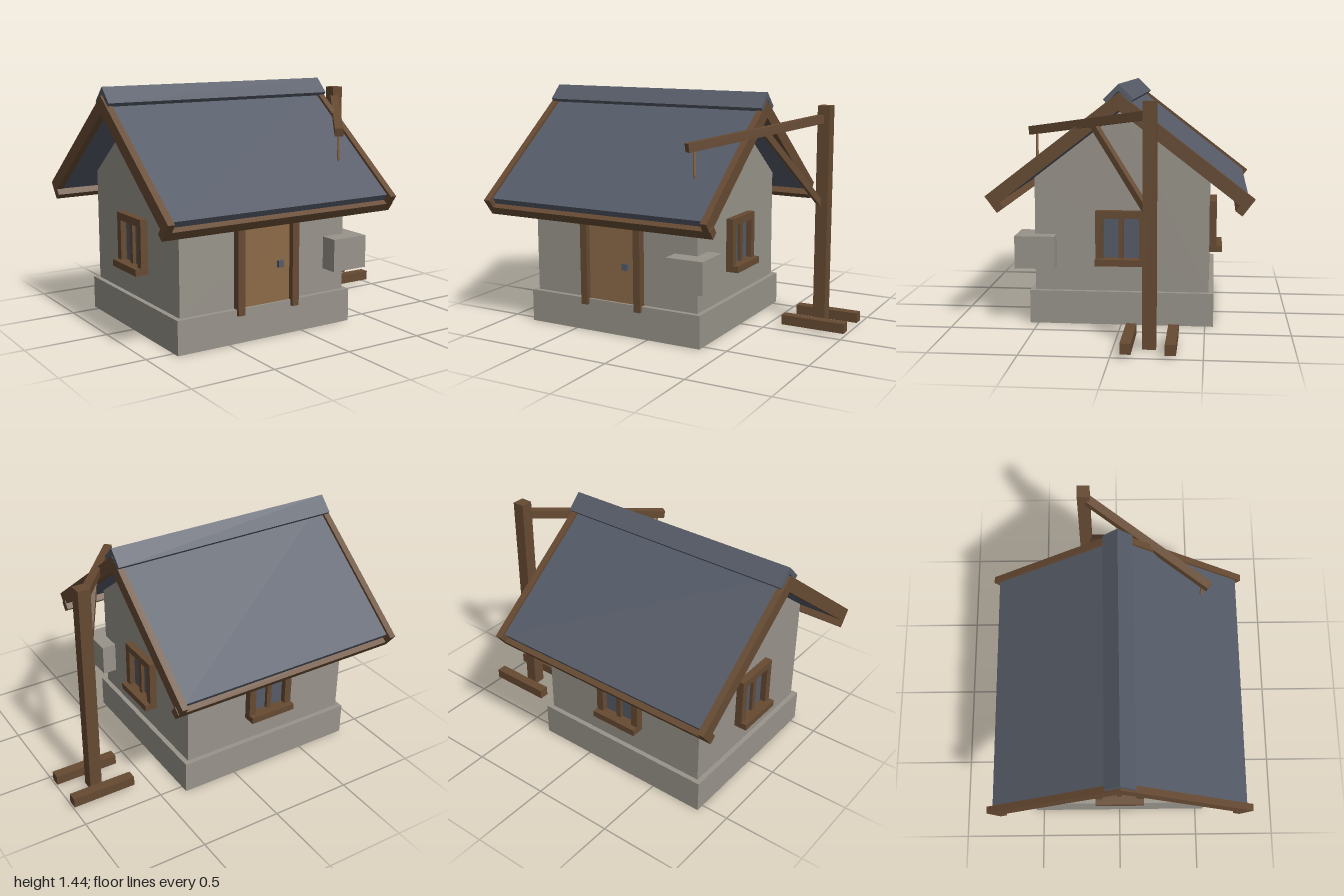
import * as THREE from 'three';

const mat = (name, color) => {
  const m = new THREE.MeshStandardMaterial({ color });
  m.name = name;
  return m;
};

export function createModel() {
  const stone = mat('stone', 0x98948b);
  const wood = mat('dark wood', 0x664a32);
  const plank = mat('door wood', 0x8c6a47);
  const slate = mat('slate', 0x555b67);
  const root = new THREE.Group();
  root.name = 'cottage';

  const add = (name, geo, material, parent = root) => {
    const m = new THREE.Mesh(geo, material);
    m.name = name;
    parent.add(m);
    return m;
  };
  // Box given by its minimum and maximum corners
  const box = (name, a, b, material, parent) => {
    const m = add(name, new THREE.BoxGeometry(b[0] - a[0], b[1] - a[1], b[2] - a[2]), material, parent);
    m.position.set((a[0] + b[0]) / 2, (a[1] + b[1]) / 2, (a[2] + b[2]) / 2);
    return m;
  };
  // Profile in (z, y), extruded from x0 to x1
  const prism = (name, pts, x0, x1, material) => {
    const shape = new THREE.Shape(pts.map(([z, y]) => new THREE.Vector2(z, y)));
    const geo = new THREE.ExtrudeGeometry(shape, { depth: x1 - x0, bevelEnabled: false });
    geo.rotateY(-Math.PI / 2).translate(x1, 0, 0);
    return add(name, geo, material);
  };
  // Square beam between two points
  const beam = (name, a, b, size, material) => {
    const p = new THREE.Vector3(...a), q = new THREE.Vector3(...b);
    const m = add(name, new THREE.BoxGeometry(size, size, p.distanceTo(q)), material);
    m.position.copy(p).lerp(q, 0.5);
    m.lookAt(q);
    return m;
  };

  // Masonry
  box('foundation', [-0.83, 0, -0.55], [0.35, 0.2, 0.55], stone);
  prism('walls', [[-0.52, 0.2], [0.52, 0.2], [0.52, 0.88], [0, 1.28], [-0.52, 0.88]], -0.8, 0.32, stone);
  box('cornerBlock', [0.175, 0.345, 0.39], [0.41, 0.54, 0.63], stone);

  // Roof: points are measured s up the slope from the eave tip and d below its top line
  const theta = Math.atan(0.77), c = Math.cos(theta), sn = Math.sin(theta);
  const at = (s, d) => [0.78 - s * c - d * sn, 0.79 + s * sn - d * c];
  const ridge = (d) => [0, 0.79 + 0.78 * 0.77 - d / c];
  const flip = ([z, y]) => [-z, y];
  const chevron = (s, d0, d1) => {
    const o = at(s, d0), i = at(s, d1);
    return [o, ridge(d0), flip(o), flip(i), ridge(d1), i];
  };
  prism('roofSlab', chevron(0.033, 0.016, 0.078), -0.96, 0.47, slate);
  prism('bargeBoardRight', chevron(0, 0, 0.08), -1, -0.96, wood);
  prism('bargeBoardLeft', chevron(0, 0, 0.08), 0.47, 0.51, wood);
  const eave = [at(0, 0.06), at(0.05, 0.06), at(0.05, 0.12), at(0, 0.12)];
  prism('eaveBeamFront', eave, -1, 0.515, wood);
  prism('eaveBeamBack', eave.map(flip), -1, 0.515, wood);
  prism('ridgeCap', [[0, 1.44], [0.087, 1.353], [0.067, 1.333], [0, 1.4], [-0.067, 1.333], [-0.087, 1.353]],
    -0.99, 0.51, slate);

  // Door
  box('door', [-0.42, 0.19, 0.5], [-0.07, 0.78, 0.535], plank);
  box('doorPostRight', [-0.45, 0.165, 0.5], [-0.405, 0.81, 0.57], wood);
  box('doorPostLeft', [-0.08, 0.165, 0.5], [-0.035, 0.81, 0.57], wood);
  box('doorLintel', [-0.405, 0.765, 0.5], [-0.08, 0.81, 0.57], wood);
  box('doorHandle', [-0.168, 0.405, 0.535], [-0.13, 0.445, 0.555], slate);

  // Windows, built facing +z and turned onto each wall
  const addWindow = (name, x, z, turn) => {
    const g = new THREE.Group();
    g.name = name;
    box('glass', [-0.11, 0.4, 0], [0.11, 0.65, 0.009], slate, g);
    for (const s of [-1, 1]) {
      const e = [s * 0.107, s * 0.152].sort((a, b) => a - b);
      box('frameSide', [e[0], 0.405, -0.02], [e[1], 0.69, 0.045], wood, g);
    }
    box('frameTop', [-0.107, 0.645, -0.02], [0.107, 0.69, 0.045], wood, g);
    box('mullion', [-0.016, 0.405, -0.02], [0.016, 0.645, 0.03], wood, g);
    box('sill', [-0.152, 0.365, -0.02], [0.152, 0.405, 0.08], wood, g);
    g.position.set(x, 0, z);
    g.rotation.y = turn;
    root.add(g);
  };
  addWindow('windowLeft', 0.32, 0, Math.PI / 2);
  addWindow('windowRight', -0.8, 0, -Math.PI / 2);
  addWindow('windowBack', -0.24, -0.52, Math.PI);

  // Hoist
  box('hoistPost', [0.762, 0, -0.238], [0.838, 1.36, -0.162], wood);
  for (const z of [-0.325, -0.083]) box('hoistFoot', [0.6, 0.02, z - 0.03], [1, 0.08, z + 0.03], wood);
  beam('hoistArm', [0.8, 1.285, -0.2], [0.265, 1.157, 0.542], 0.05, wood);
  beam('hoistBrace', [0.795, 0.755, -0.19], [0.56, 1.215, 0.135], 0.036, wood);
  const rope = add('rope', new THREE.CylinderGeometry(0.008, 0.008, 0.15, 8), plank);
  rope.position.set(0.293, 1.075, 0.505);
  const tip = add('ropeTip', new THREE.CylinderGeometry(0.008, 0.003, 0.02, 8), plank);
  tip.position.set(0.293, 0.99, 0.505);

  return root;
}
